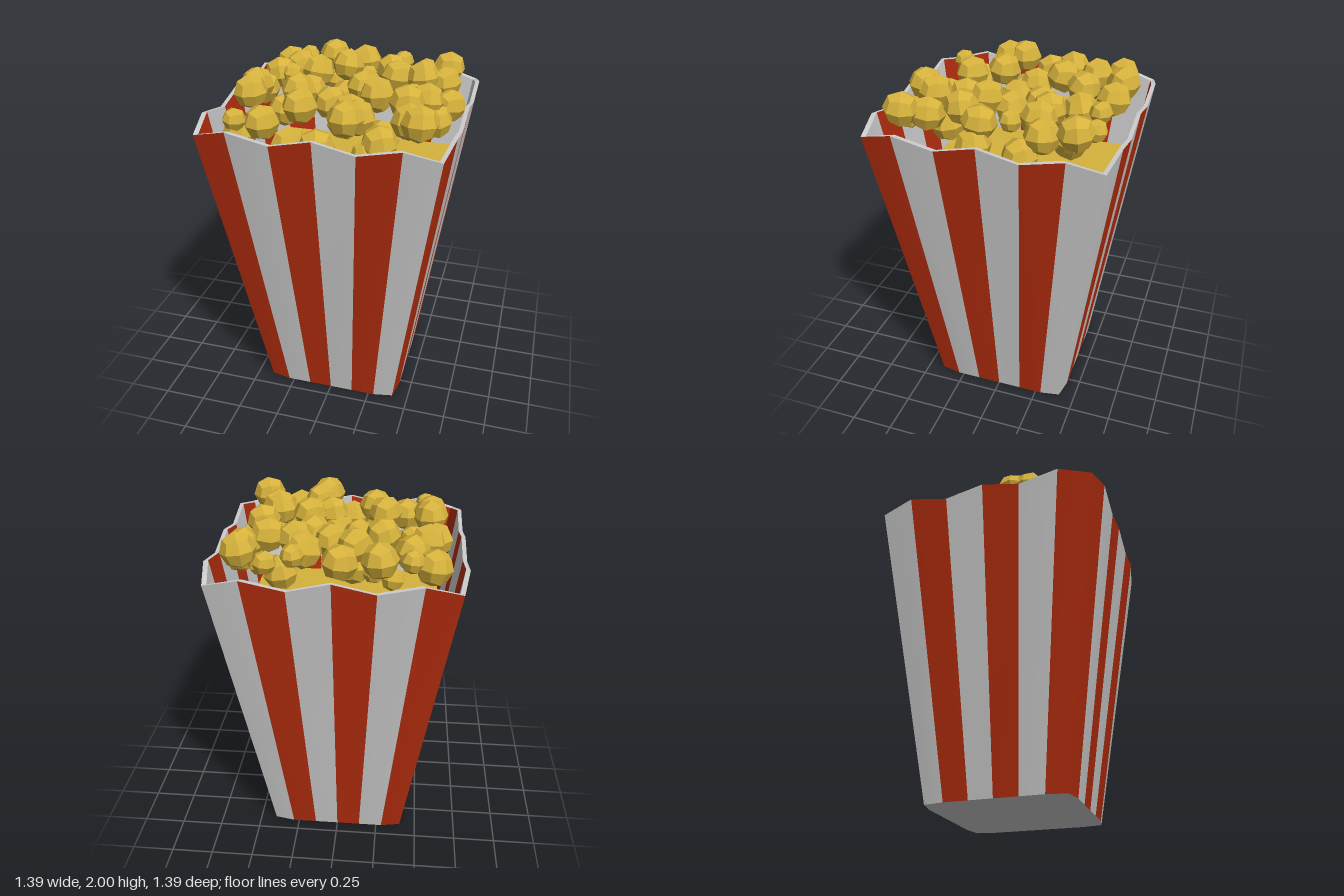
import * as THREE from 'three';

const red = new THREE.MeshStandardMaterial({ color: 0xb42d0e });
red.name = 'stripe red';
const white = new THREE.MeshStandardMaterial({ color: 0xcccccc });
white.name = 'paper white';
const gold = new THREE.MeshStandardMaterial({ color: 0xd6b23c });
gold.name = 'popcorn gold';

// Stripe edges along one side of the box at the rim
const EDGES = [-0.66, -0.465, -0.23, 0, 0.23, 0.465, 0.66];
const BASE = 0.61, INNER = 0.967;

// Each side maps (along, outward) to (x, z); flip keeps faces pointing outward
const SIDES = [
  { name: 'front', at: (u, d) => [u, d], flip: false, redFirst: true },
  { name: 'back', at: (u, d) => [u, -d], flip: true, redFirst: true },
  { name: 'left', at: (u, d) => [d, u], flip: true, redFirst: false },
  { name: 'right', at: (u, d) => [-d, u], flip: false, redFirst: false },
];

// One row of seven points, at the base or along the zigzag rim
function row(side, top, scale) {
  const s = scale * (top ? 1 : BASE);
  return EDGES.map((u, i) => {
    const d = i === 0 || i === 6 ? 0.66 : 0.695;
    const [x, z] = side.at(u * s, d * s);
    return [x, top ? (i % 2 ? 1.83 : 1.78) : 0, z];
  });
}

// Strip of six quads between two rows, one geometry group per quad
function strip(a, b, flip, materialIndex) {
  const g = new THREE.BufferGeometry();
  g.setAttribute('position', new THREE.Float32BufferAttribute([...a, ...b].flat(), 3));
  const index = [];
  for (let i = 0; i < 6; i++) {
    const [p, q, r, s] = [i, i + 1, i + 8, i + 7];
    index.push(...(flip ? [p, r, q, p, s, r] : [p, q, r, p, r, s]));
    g.addGroup(i * 6, 6, materialIndex(i));
  }
  g.setIndex(index);
  g.computeVertexNormals();
  return g;
}

function add(parent, name, geometry, material) {
  const mesh = new THREE.Mesh(geometry, material);
  mesh.name = name;
  parent.add(mesh);
  return mesh;
}

// Faceted ball of 24 kite-shaped faces
function kernelGeometry() {
  const box = new THREE.BoxGeometry(2, 2, 2, 2, 2, 2);
  const p = box.attributes.position, v = new THREE.Vector3();
  for (let i = 0; i < p.count; i++) {
    v.fromBufferAttribute(p, i);
    const corner = v.lengthSq() > 2.5;
    v.setLength(corner ? 0.948 : 1);
    p.setXYZ(i, v.x, v.y, v.z);
  }
  const g = box.toNonIndexed();
  g.computeVertexNormals();
  return g;
}

// Kernel centres as [x, z, y], grouped by radius
const LARGE = [
  [-0.51, -0.49, 1.85], [-0.235, -0.545, 1.9], [-0.03, -0.535, 1.88], [0.505, -0.465, 1.9],
  [-0.4, -0.355, 1.87], [-0.095, -0.35, 1.9], [0.17, -0.4, 1.88], [0.3, -0.385, 1.75],
  [0.51, -0.29, 1.86], [0.56, -0.19, 1.76], [0.39, -0.235, 1.9], [0.235, -0.245, 1.89],
  [-0.08, -0.26, 1.74], [-0.235, -0.19, 1.9], [-0.475, -0.19, 1.87], [0.05, -0.145, 1.84],
  [0.165, -0.01, 1.84], [-0.53, -0.035, 1.82], [-0.235, -0.025, 1.83], [-0.36, 0.075, 1.74],
  [-0.09, 0.05, 1.8], [0.465, 0.065, 1.87], [0.52, 0.08, 1.76], [-0.5, 0.13, 1.9],
  [0.2, 0.12, 1.9], [0.38, 0.195, 1.9], [-0.5, 0.235, 1.89], [-0.235, 0.175, 1.9],
  [0.04, 0.225, 1.76], [0.09, 0.29, 1.85], [-0.17, 0.355, 1.88], [0.275, 0.33, 1.74],
  [0.43, 0.375, 1.86], [-0.49, 0.43, 1.73], [-0.36, 0.44, 1.8], [-0.185, 0.515, 1.72],
  [-0.02, 0.545, 1.74], [0.17, 0.44, 1.88], [0.13, 0.52, 1.9], [0.315, 0.55, 1.8],
  [0.505, 0.49, 1.9],
];
const SMALL = [
  [-0.4, -0.52, 1.89], [0.215, -0.52, 1.9], [0.36, -0.53, 1.86], [-0.2, -0.41, 1.78],
  [0.02, -0.39, 1.83], [0.41, -0.4, 1.8], [-0.3, -0.45, 1.76], [-0.39, -0.155, 1.88],
  [0.36, -0.07, 1.85], [-0.475, 0.535, 1.84], [0.24, 0.58, 1.75],
];

export function createModel() {
  const model = new THREE.Group();
  model.name = 'popcornBox';

  // Striped walls, inside and out, with a thin rim between them
  const carton = new THREE.Group();
  carton.name = 'carton';
  model.add(carton);
  for (const side of SIDES) {
    const stripes = (i) => ((i % 2 === 0) === side.redFirst ? 0 : 1);
    const top = row(side, true, 1), innerTop = row(side, true, INNER);
    add(carton, side.name + 'OuterWall', strip(row(side, false, 1), top, side.flip, stripes), [red, white]);
    add(carton, side.name + 'InnerWall', strip(row(side, false, INNER), innerTop, !side.flip, stripes), [red, white]);
    add(carton, side.name + 'Rim', strip(top, innerTop, side.flip, () => 1), [red, white]);
  }

  // Base plate following the wall outline
  const [front, back, left, right] = SIDES.map((s) => row(s, false, 1));
  const outline = [...front, ...left.reverse(), ...back.reverse(), ...right]
    .filter((p, i) => i % 7 !== 6)
    .map(([x, , z]) => new THREE.Vector2(x, z));
  add(carton, 'base', new THREE.ShapeGeometry(new THREE.Shape(outline)).rotateX(Math.PI / 2), white);

  // Flat filling under the loose kernels
  add(model, 'filling', new THREE.BoxGeometry(1.15, 0.02, 1.15), gold).position.y = 1.34;

  // Loose kernels, each turned a little differently
  const kernels = new THREE.Group();
  kernels.name = 'kernels';
  model.add(kernels);
  const ball = kernelGeometry();
  const scatter = (list, radius) => list.forEach(([x, z, y], i) => {
    const kernel = add(kernels, 'kernel', ball, gold);
    kernel.position.set(x, y, z);
    kernel.scale.setScalar(radius);
    kernel.rotation.set(0.15 * Math.sin(i * 2.3), 0.6 + 0.3 * Math.sin(i * 1.7), 0.15 * Math.cos(i * 3.1));
  });
  scatter(LARGE, 0.1);
  scatter(SMALL, 0.065);
  return model;
}
